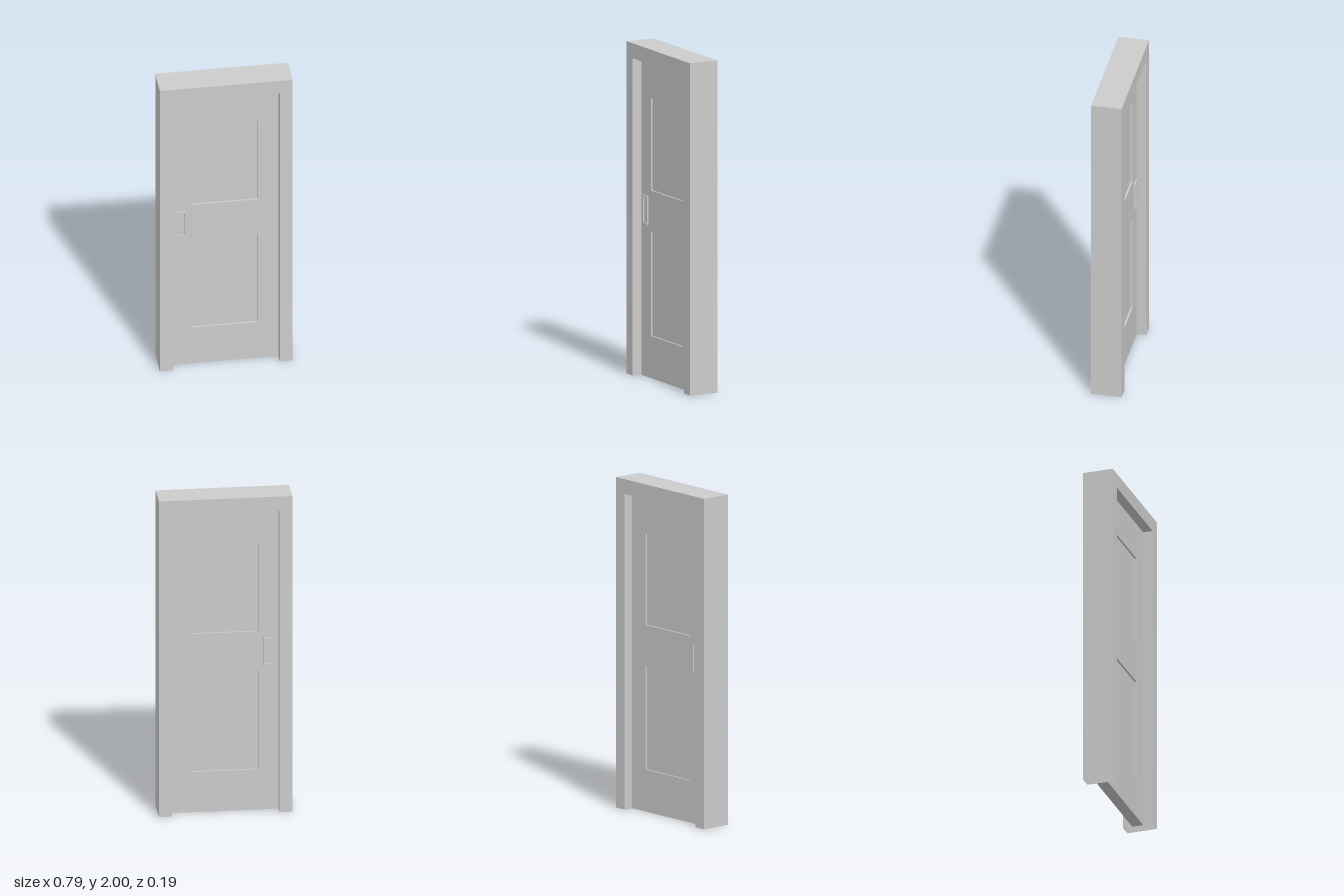
import * as THREE from 'three';

const material = new THREE.MeshStandardMaterial({ color: 0xcccccc, flatShading: true, side: THREE.DoubleSide });

const FRAME = { x: 0.397, top: 2, z: 0.0925 };
const DOOR = { x: 0.32, top: 1.91, z: 0.034 };
const PANEL_DEPTH = 0.011;

function rectPoints(x0, y0, x1, y1) {
  return [[x0, y0], [x1, y0], [x1, y1], [x0, y1]].map(([x, y]) => new THREE.Vector2(x, y));
}

// Flat plate between z0 and z1, with optional rectangular holes
function plate(name, points, z0, z1, holes = []) {
  const shape = new THREE.Shape(points);
  for (const h of holes) shape.holes.push(new THREE.Path(rectPoints(...h)));
  const geometry = new THREE.ExtrudeGeometry(shape, { depth: z1 - z0, bevelEnabled: false });
  geometry.translate(0, 0, z0);
  const mesh = new THREE.Mesh(geometry, material);
  mesh.name = name;
  return mesh;
}

// Drop the faces lying on the floor, leaving the jambs hollow underneath
function openBottom(geometry) {
  const p = geometry.attributes.position;
  const kept = [];
  for (let i = 0; i < p.count; i += 3) {
    if (Math.max(p.getY(i), p.getY(i + 1), p.getY(i + 2)) < 1e-5) continue;
    for (let k = i; k < i + 3; k++) kept.push(p.getX(k), p.getY(k), p.getZ(k));
  }
  const result = new THREE.BufferGeometry();
  result.setAttribute('position', new THREE.Float32BufferAttribute(kept, 3));
  result.computeVertexNormals();
  return result;
}

export function createModel() {
  const model = new THREE.Group();
  model.name = 'door';

  // Surrounding frame: two jambs and a lintel
  const outline = [
    [-FRAME.x, 0], [-DOOR.x, 0], [-DOOR.x, DOOR.top], [DOOR.x, DOOR.top],
    [DOOR.x, 0], [FRAME.x, 0], [FRAME.x, FRAME.top], [-FRAME.x, FRAME.top],
  ].map(([x, y]) => new THREE.Vector2(x, y));
  const frame = plate('doorFrame', outline, -FRAME.z, FRAME.z);
  frame.geometry = openBottom(frame.geometry);
  model.add(frame);

  // Door core, whose faces are the floors of the sunken panels
  const leaf = rectPoints(-DOOR.x, 0, DOOR.x, DOOR.top);
  const coreZ = DOOR.z - PANEL_DEPTH;
  model.add(plate('doorCore', leaf, -coreZ, coreZ));

  // Door skins with panel openings, and a sunken pull on each side
  const panels = [[-0.2, 0.255, 0.198, 0.88], [-0.2, 1.13, 0.198, 1.685]];
  const pull = [-0.29, 0.915, -0.232, 1.09];
  const rim = 0.008;
  const pullHole = [pull[0] + rim, pull[1] + rim, pull[2] - rim, pull[3] - rim];
  for (const side of [1, -1]) {
    const range = (a, b) => (side > 0 ? [a, b] : [-b, -a]);
    const label = side > 0 ? 'front' : 'back';
    model.add(plate(label + 'Skin', leaf, ...range(coreZ, DOOR.z), panels));
    model.add(plate(label + 'HandleRim', rectPoints(...pull), ...range(DOOR.z, DOOR.z + 0.01), [pullHole]));
  }
  return model;
}
